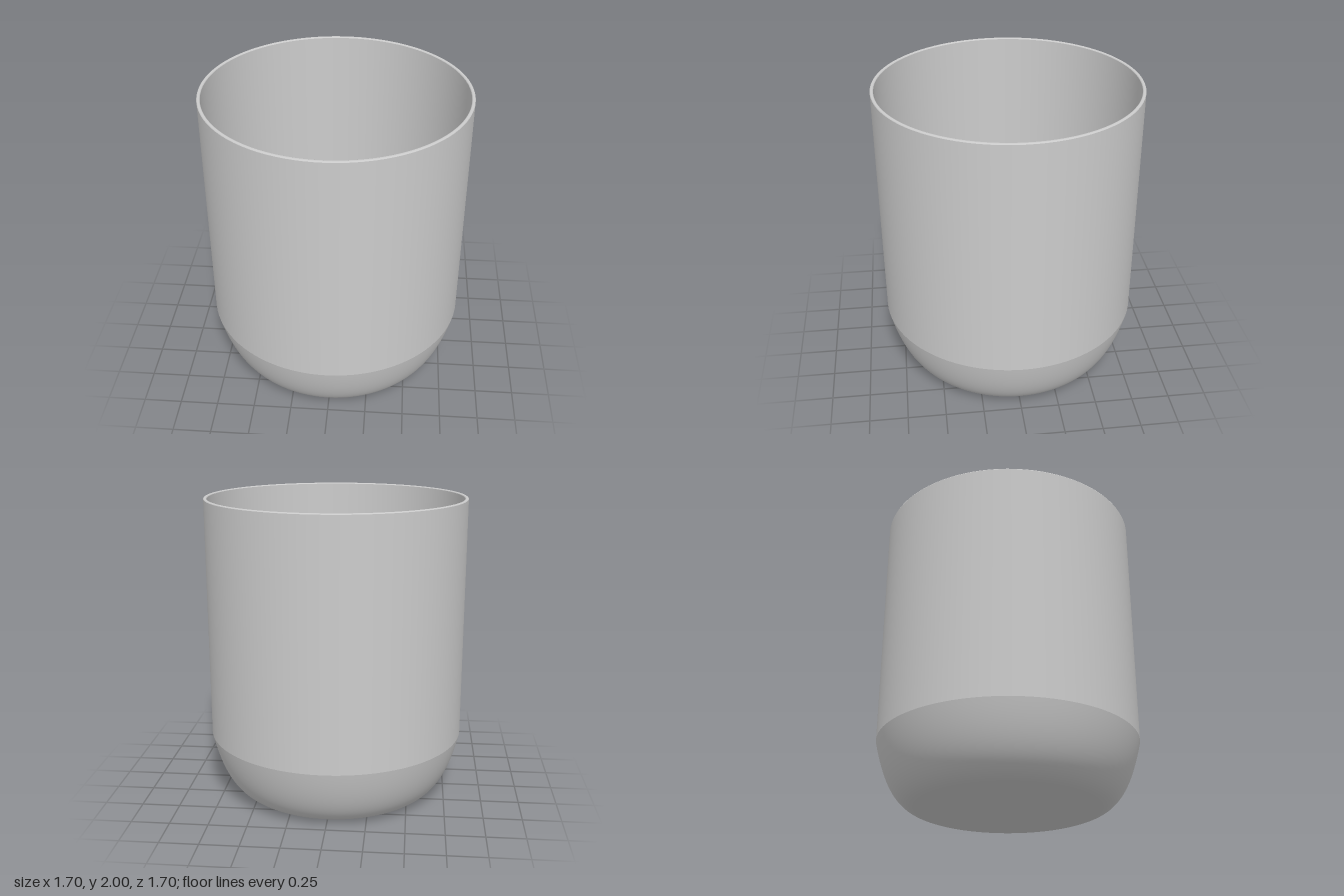
import * as THREE from 'three';

const SEGMENTS = 96;
const R = 0.852;        // outer radius
const WALL = 0.022;     // wall thickness
const SHOULDER = 0.42;  // height where the base curve meets the straight wall
const V = (x, y) => new THREE.Vector2(x, y);

export function createModel() {
  const model = new THREE.Group();
  model.name = 'cup';
  const material = new THREE.MeshStandardMaterial({ color: 0xcccccc });

  // Each section is its own lathe, so the edges between sections stay sharp
  const addSection = (name, points) => {
    const mesh = new THREE.Mesh(new THREE.LatheGeometry(points, SEGMENTS), material);
    mesh.name = name;
    model.add(mesh);
  };

  // Rounded base: flat centre curving up to the wall
  const base = new THREE.CubicBezierCurve(
    V(0.56, 0), V(0.72, 0), V(0.8, 0.19), V(R, SHOULDER)
  ).getPoints(24);
  addSection('outerBase', [V(0, 0), V(0.5, 0), ...base]);
  addSection('outerWall', [V(R, SHOULDER), V(R, 1.994)]);

  // Thin rim with softened edges
  const rin = R - WALL;
  addSection('rim', [V(R, 1.994), V(R - 0.002, 1.998), V(R - 0.006, 2),
    V(rin + 0.006, 2), V(rin + 0.002, 1.998), V(rin, 1.994)]);

  // Inside surfaces, running down from the rim to the floor
  addSection('innerWall', [V(rin, 1.994), V(rin, SHOULDER)]);
  const floor = new THREE.CubicBezierCurve(
    V(rin, SHOULDER), V(0.78, 0.2), V(0.7, WALL), V(0.55, WALL)
  ).getPoints(24);
  addSection('innerBase', [...floor, V(0.5, WALL), V(0, WALL)]);

  return model;
}
